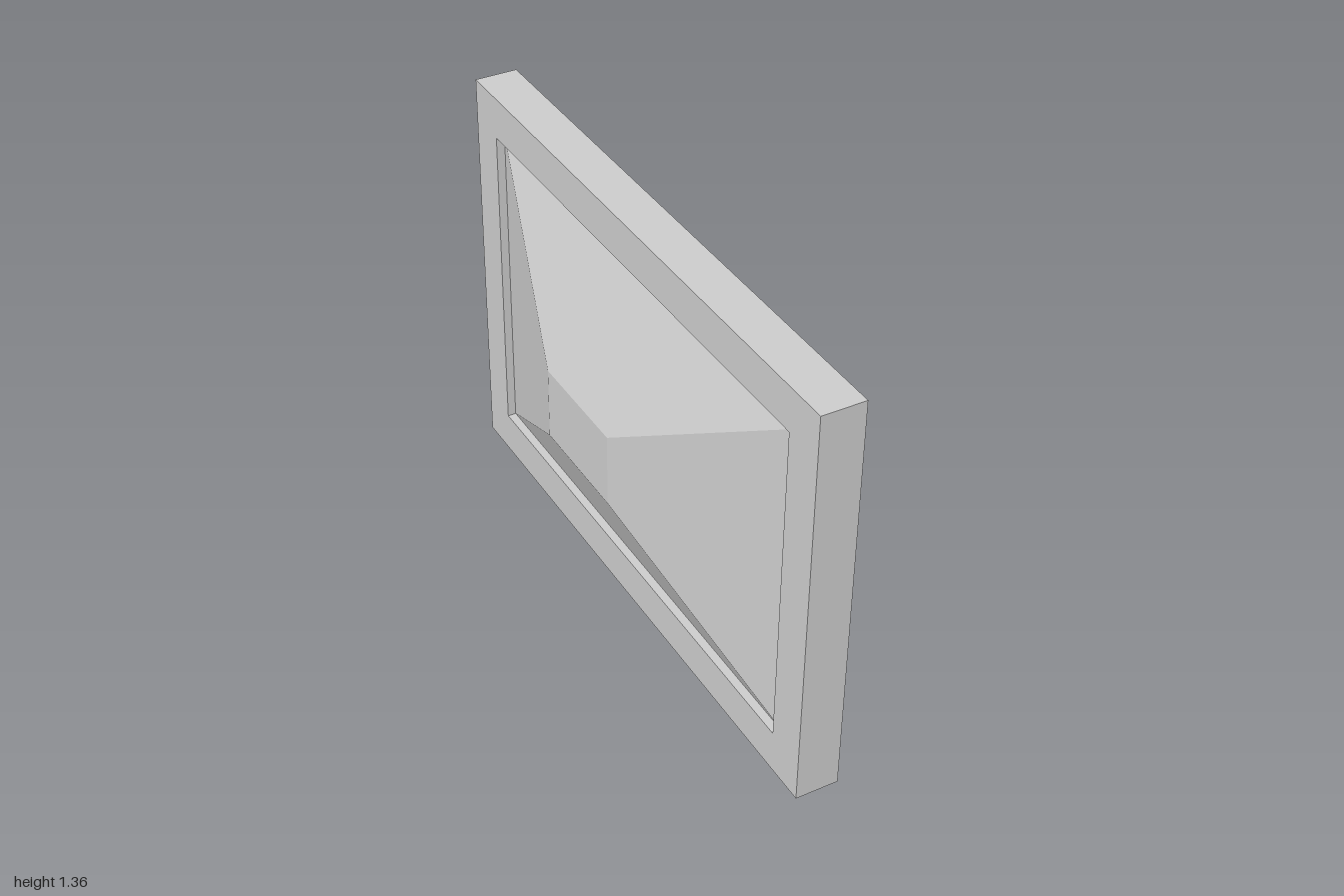
import * as THREE from 'three';

const material = new THREE.MeshStandardMaterial({ color: 0xcccccc, flatShading: true });
const OPEN_W = 1.72, OPEN_H = 1.076; // opening inside the frame

// Rectangle outline centred on the origin
function rectangle(Type, w, h) {
  return new Type([[-1, -1], [1, -1], [1, 1], [-1, 1]]
    .map(([x, y]) => new THREE.Vector2(x * w / 2, y * h / 2)));
}

function addPart(group, name, geometry) {
  const mesh = new THREE.Mesh(geometry, material);
  mesh.name = name;
  group.add(mesh);
}

export function createModel() {
  // Built facing +z, then turned to face +x
  const display = new THREE.Group();
  display.name = 'display';

  // Rectangular surround
  const outline = rectangle(THREE.Shape, 1.993, 1.355);
  outline.holes.push(rectangle(THREE.Path, OPEN_W, OPEN_H));
  const frame = new THREE.ExtrudeGeometry(outline, { depth: 0.14, bevelEnabled: false });
  frame.translate(0, 0, 0.015);
  addPart(display, 'frame', frame);

  // Recessed screen panel
  const screen = new THREE.BoxGeometry(OPEN_W, OPEN_H, 0.018);
  screen.translate(0, 0, 0.052);
  addPart(display, 'screen', screen);

  // Rear housing: a box tapered to a small rear face
  const housing = new THREE.BoxGeometry(OPEN_W, OPEN_H, 0.2);
  const p = housing.attributes.position;
  for (let i = 0; i < p.count; i++) {
    if (p.getZ(i) < 0) {
      p.setXY(i, Math.sign(p.getX(i)) * 0.187, Math.sign(p.getY(i)) * 0.12 + 0.011);
    }
  }
  housing.translate(0, 0, -0.056);
  housing.computeVertexNormals();
  addPart(display, 'rearHousing', housing);

  display.rotation.y = Math.PI / 2;

  // Very slight sideways tilt
  const model = new THREE.Group();
  model.name = 'monitor';
  model.add(display);
  model.position.y = 0.684;
  model.rotation.x = -0.005;

  const root = new THREE.Group();
  root.add(model);
  return root;
}
